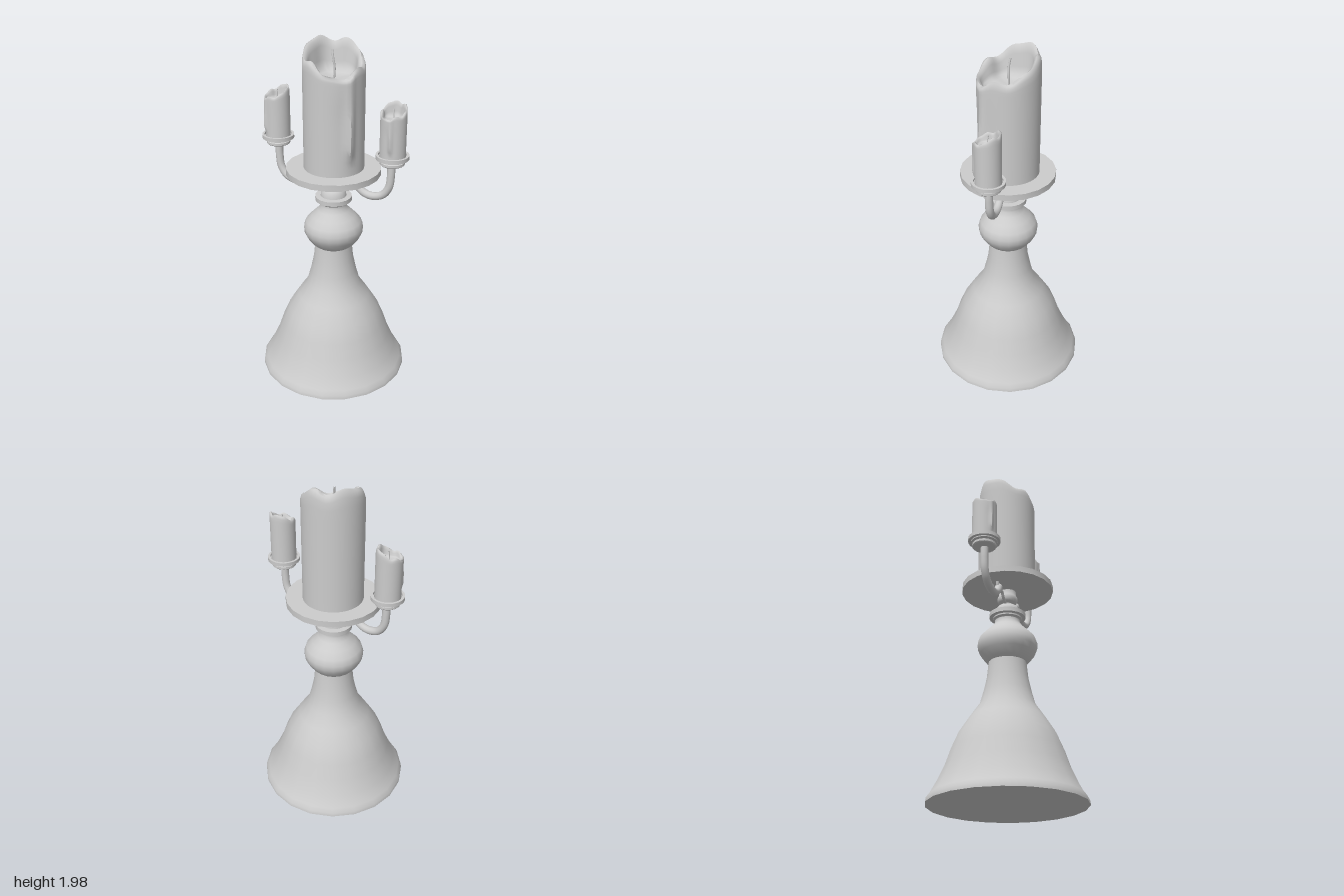
import * as THREE from 'three';
import { toCreasedNormals } from 'three/addons/utils/BufferGeometryUtils.js';

const material = new THREE.MeshStandardMaterial({ color: 0xcccccc });

function addMesh(parent, name, geometry) {
  const mesh = new THREE.Mesh(geometry, material);
  mesh.name = name;
  parent.add(mesh);
  return mesh;
}

// Turned part from [radius, height] pairs, listed from the bottom centre up
function turned(profile, sides, crease = 0.75) {
  const points = profile.map(([r, y]) => new THREE.Vector2(r, y));
  return toCreasedNormals(new THREE.LatheGeometry(points, sides), crease);
}

function tube(points, radius, segments, sides) {
  const path = new THREE.CatmullRomCurve3(points.map(p => new THREE.Vector3(...p)));
  return new THREE.TubeGeometry(path, segments, radius, sides);
}

const bell = (a, centre, width) => {
  const d = Math.atan2(Math.sin(a - centre), Math.cos(a - centre)) / width;
  return Math.exp(-d * d);
};

// Melted candle: a turned body with an uneven rim, a hollow and a wax drip
function createCandle(name) {
  const candle = new THREE.Group();
  candle.name = name;
  const profile = [[0, 0], [0.168, 0]];
  for (let i = 1; i <= 14; i++) profile.push([0.168, i * 0.04]);
  profile.push([0.167, 0.59], [0.161, 0.612], [0.15, 0.62], [0.139, 0.612],
    [0.13, 0.585], [0.124, 0.54], [0.115, 0.515], [0.095, 0.505], [0, 0.5]);
  const body = new THREE.LatheGeometry(profile.map(p => new THREE.Vector2(...p)), 60);
  const pos = body.attributes.position;
  for (let i = 0; i < pos.count; i++) {
    const x = pos.getX(i), y = pos.getY(i), z = pos.getZ(i);
    const r = Math.hypot(x, z), a = Math.atan2(z, x);
    // Rim is high at the back left and low at the front right
    const rise = 0.068 * Math.cos(a - 3.95) + 0.014 * Math.sin(4 * a + 0.6) + 0.009 * Math.sin(7 * a);
    const weight = THREE.MathUtils.clamp((y - 0.5) / 0.11, 0, 1);
    let grow = 0;
    if (r > 0.16) {
      const along = THREE.MathUtils.smoothstep(y, 0.06, 0.16) * (1 - 0.6 * THREE.MathUtils.smoothstep(y, 0.25, 0.5));
      grow = 0.032 * along * bell(a, 0.6, 0.14)
        + 0.008 * THREE.MathUtils.smoothstep(y, 0.3, 0.5) * bell(a, 0.75, 0.4);
    } else if (r > 0.09 && y > 0.5) {
      grow = 0.006 * Math.sin(5 * a + 1) + 0.015 * bell(a, 0.9, 0.6);
    }
    const k = r > 0 ? (r + grow) / r : 1;
    pos.setXYZ(i, x * k, y + rise * weight, z * k);
  }
  addMesh(candle, 'wax', toCreasedNormals(body, 1));
  addMesh(candle, 'wick', tube([[0, 0.49, 0], [0.004, 0.56, 0], [-0.004, 0.61, 0.002], [-0.012, 0.65, -0.004]], 0.006, 12, 8));
  return candle;
}

export function createModel() {
  const model = new THREE.Group();
  model.name = 'candelabra';

  // Bell foot, neck, bulb and collar
  addMesh(model, 'base', turned([
    [0, 0], [0.43, 0], [0.428, 0.022], [0.41, 0.045], [0.375, 0.11], [0.335, 0.2], [0.305, 0.29],
    [0.267, 0.38], [0.21, 0.47], [0.155, 0.55], [0.133, 0.63], [0.116, 0.71], [0.107, 0.8],
    [0.122, 0.812], [0.155, 0.855], [0.168, 0.885], [0.17, 0.915], [0.158, 0.95], [0.125, 0.985],
    [0.09, 1.02], [0.073, 1.045], [0.073, 1.06], [0.083, 1.07], [0.083, 1.078], [0.104, 1.08],
    [0.104, 1.105], [0.073, 1.107], [0.07, 1.13], [0.058, 1.148], [0.035, 1.16], [0.035, 1.165],
    [0.05, 1.175], [0.057, 1.185], [0.057, 1.21], [0.05, 1.22], [0.05, 1.25], [0, 1.25],
  ], 20));

  // Flat tray for the middle candle
  addMesh(model, 'tray', turned([[0, 1.245], [0.265, 1.245], [0.265, 1.28], [0, 1.28]], 20));

  const middle = createCandle('middleCandle');
  middle.position.set(0, 1.28, -0.005);
  model.add(middle);

  for (const s of [-1, 1]) {
    const side = s > 0 ? 'left' : 'right';

    // Curved arm below the tray, rising to the cup
    addMesh(model, side + 'Arm', tube([
      [s * 0.135, 1.215, 0], [s * 0.155, 1.185, 0], [s * 0.195, 1.157, 0], [s * 0.245, 1.15, 0],
      [s * 0.3, 1.17, 0], [s * 0.335, 1.22, 0], [s * 0.345, 1.29, 0], [s * 0.345, 1.37, 0],
    ], 0.022, 32, 12));
    const cap = addMesh(model, side + 'ArmEnd', new THREE.SphereGeometry(0.022, 12, 8));
    cap.position.set(s * 0.135, 1.215, 0);

    // Thin scroll joining the arm to the stem
    addMesh(model, side + 'Scroll', tube([
      [s * 0.155, 1.245, 0], [s * 0.148, 1.215, 0], [s * 0.125, 1.203, 0], [s * 0.09, 1.212, 0],
      [s * 0.065, 1.185, 0], [s * 0.035, 1.163, 0], [0, 1.157, 0],
    ], 0.009, 28, 8));

    // Stepped cup and its small candle
    const cup = addMesh(model, side + 'Cup', turned([
      [0, 1.358], [0.062, 1.358], [0.067, 1.363], [0.067, 1.376], [0.058, 1.38], [0.075, 1.385],
      [0.075, 1.391], [0.09, 1.393], [0.09, 1.414], [0.077, 1.414], [0.077, 1.402], [0, 1.402],
    ], 28));
    cup.position.x = s * 0.35;

    const candle = createCandle(side + 'Candle');
    candle.scale.setScalar(0.417);
    candle.position.set(s * 0.35, 1.402, 0);
    candle.rotation.y = s > 0 ? -0.8 : -1.58;
    model.add(candle);
  }
  return model;
}
